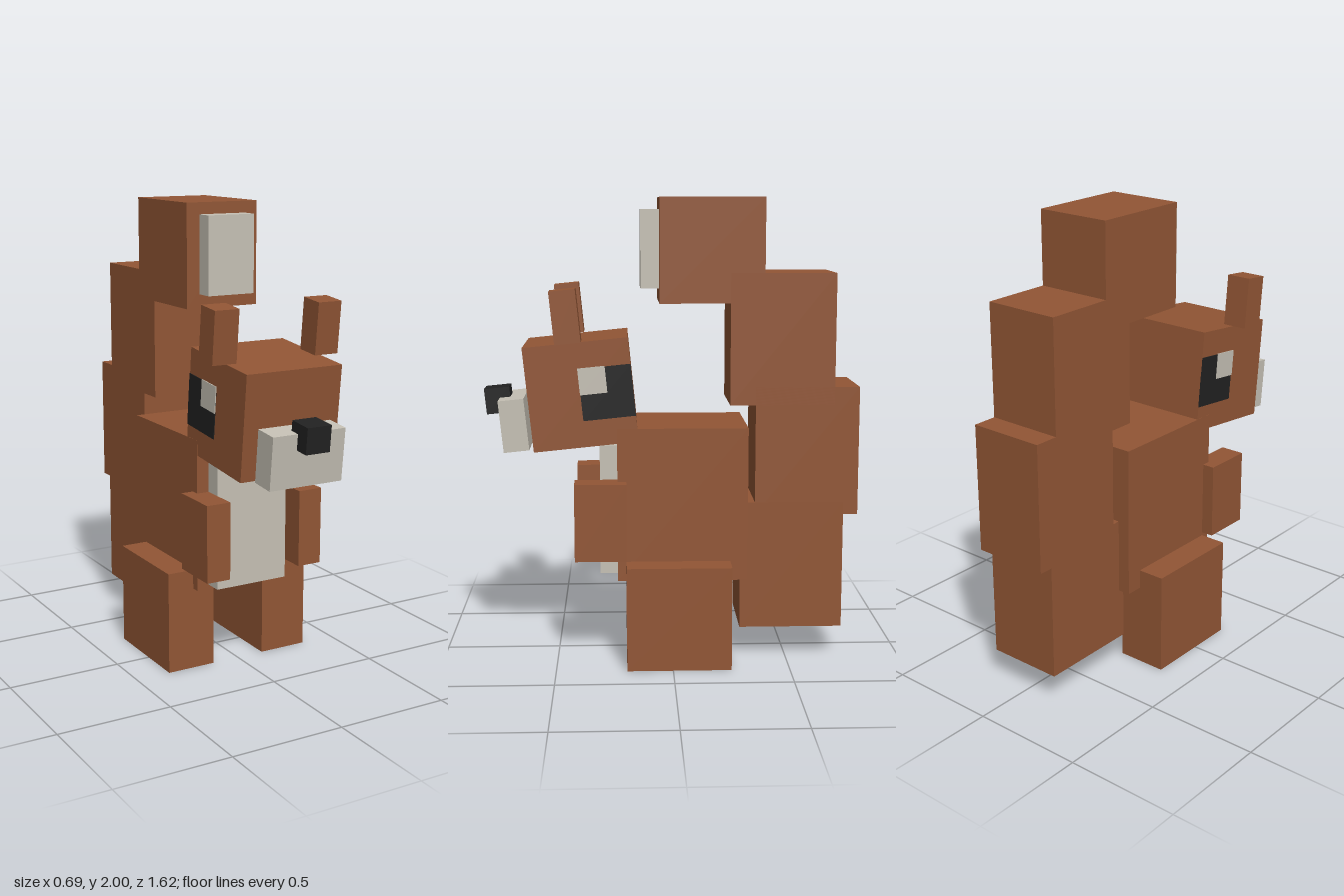
import * as THREE from 'three';

export function createModel() {
  const model = new THREE.Group();
  model.name = 'squirrel';

  const mat = (name, color) => {
    const m = new THREE.MeshStandardMaterial({ color });
    m.name = name;
    return m;
  };
  const fur = mat('brown fur', 0x925635);
  const cream = mat('cream', 0xc6c1b5);
  const black = mat('black', 0x222222);

  // Box given by its [min, max] range on each axis
  const block = (parent, name, material, [x0, x1], [y0, y1], [z0, z1]) => {
    const mesh = new THREE.Mesh(new THREE.BoxGeometry(x1 - x0, y1 - y0, z1 - z0), material);
    mesh.position.set((x0 + x1) / 2, (y0 + y1) / 2, (z0 + z1) / 2);
    mesh.name = name;
    parent.add(mesh);
  };
  // The same box on the left (+x) and right (-x)
  const pair = (parent, name, material, [x0, x1], y, z) => {
    block(parent, 'left' + name, material, [x0, x1], y, z);
    block(parent, 'right' + name, material, [-x1, -x0], y, z);
  };

  // Body and limbs
  block(model, 'body', fur, [-0.225, 0.225], [0.365, 1.03], [-0.325, 0.235]);
  block(model, 'belly', cream, [-0.17, 0.17], [0.385, 0.95], [0.235, 0.31]);
  pair(model, 'Leg', fur, [0.125, 0.345], [0, 0.45], [-0.25, 0.197]);
  pair(model, 'Arm', fur, [0.17, 0.28], [0.465, 0.8], [0.197, 0.418]);

  // Stepped tail curling up and forward: [y range, z range]
  const tail = new THREE.Group();
  tail.name = 'tail';
  model.add(tail);
  [
    [[0.135, 0.695], [-0.745, -0.297]],
    [[0.64, 1.197], [-0.807, -0.36]],
    [[1.12, 1.683], [-0.7, -0.25]],
    [[1.555, 2], [-0.395, 0.053]],
  ].forEach(([y, z], i) => block(tail, 'tailSegment' + (i + 1), fur, [-0.17, 0.17], y, z));
  block(tail, 'tailTipPatch', cream, [-0.11, 0.11], [1.615, 1.95], [0.053, 0.132]);

  // Head, tilted slightly nose-down; its parts use local coordinates
  const head = new THREE.Group();
  head.name = 'head';
  head.position.set(0, 1.175, 0.3875);
  head.rotation.x = 0.1;
  model.add(head);
  block(head, 'skull', fur, [-0.224, 0.224], [-0.2235, 0.2235], [-0.2235, 0.2235]);
  block(head, 'snout', cream, [-0.17, 0.17], [-0.221, 0.003], [0.246, 0.356]);
  block(head, 'nose', black, [-0.056, 0.056], [-0.064, 0.047], [0.31, 0.42]);
  pair(head, 'Ear', fur, [0.187, 0.298], [0.228, 0.45], [-0.028, 0.082]);

  // Eyes as thin plates with a highlight in the upper front corner
  pair(head, 'Eye', black, [0.223, 0.227], [-0.111, 0.111], [-0.2235, 0]);
  pair(head, 'EyeHighlight', cream, [0.226, 0.23], [0, 0.114], [-0.114, 0.002]);

  return model;
}
